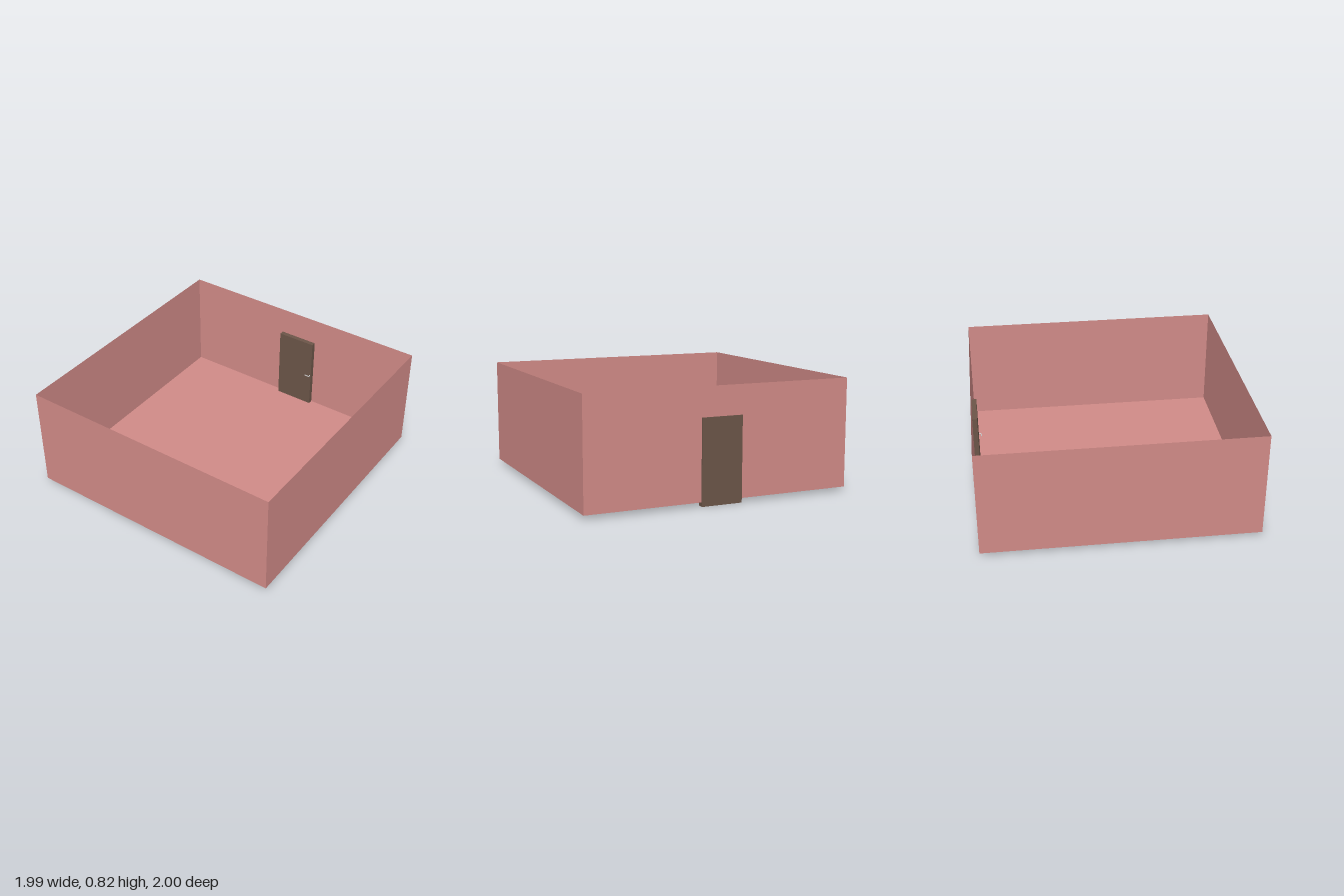
import * as THREE from 'three';

const wallMat = new THREE.MeshStandardMaterial({ color: 0xd08a87, side: THREE.DoubleSide });
const doorMat = new THREE.MeshStandardMaterial({ color: 0x6b5548 });
const handleMat = new THREE.MeshStandardMaterial({ color: 0xcccccc });

const SIZE = 1.99, HEIGHT = 0.79, BASE = 0.03, CENTRE_Z = 0.003;

export function createModel() {
  const model = new THREE.Group();
  const add = (name, geometry, material, x, y, z) => {
    const mesh = new THREE.Mesh(geometry, material);
    mesh.name = name;
    mesh.position.set(x, y, z);
    model.add(mesh);
    return mesh;
  };

  // paper-thin floor
  add('floor', new THREE.PlaneGeometry(SIZE, SIZE), wallMat, 0, BASE, CENTRE_Z).rotation.x = -Math.PI / 2;

  // four paper-thin walls, open at the top
  ['frontWall', 'leftWall', 'backWall', 'rightWall'].forEach((name, i) => {
    const a = i * Math.PI / 2;
    add(name, new THREE.PlaneGeometry(SIZE, HEIGHT), wallMat,
      Math.sin(a) * SIZE / 2, BASE + HEIGHT / 2, CENTRE_Z + Math.cos(a) * SIZE / 2).rotation.y = a;
  });

  // door slab passing through the back wall and below the floor
  add('door', new THREE.BoxGeometry(0.305, 0.61, 0.044), doorMat, -0.002, 0.305, -0.978);

  // small bent lever on the inner face of the door
  const path = new THREE.CatmullRomCurve3([
    [0.14, 0, -0.958], [0.144, 0, -0.945], [0.138, 0, -0.938], [0.108, 0, -0.938],
  ].map(p => new THREE.Vector3(...p)));
  add('doorHandle', new THREE.TubeGeometry(path, 16, 0.004, 8), handleMat, 0, 0.31, 0);
  add('handleTip', new THREE.SphereGeometry(0.004, 8, 6), handleMat, 0.108, 0.31, -0.938);

  return model;
}
